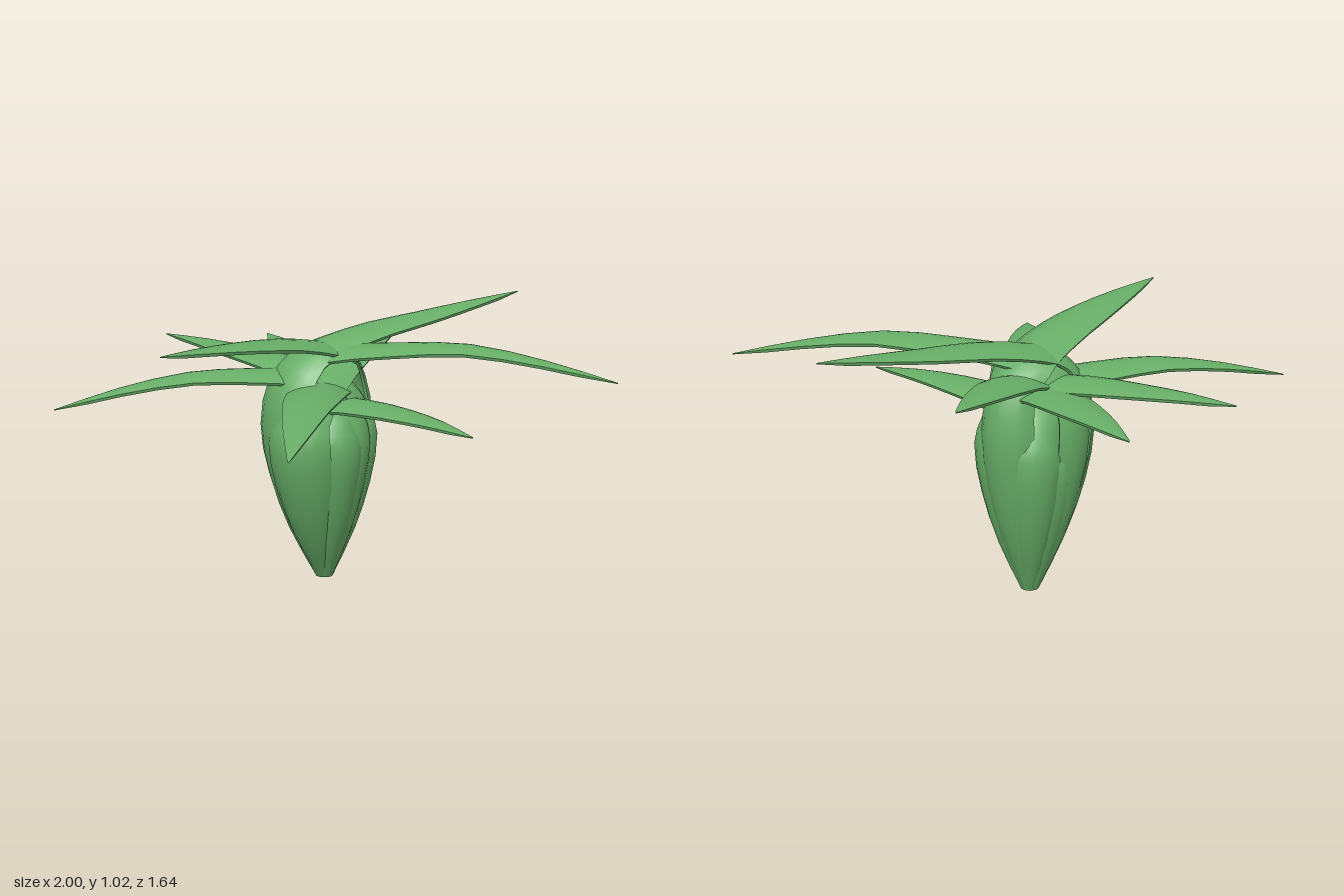
import * as THREE from 'three';
import { toCreasedNormals } from 'three/addons/utils/BufferGeometryUtils.js';

const CX = -0.1, CZ = -0.15; // axis of the bulb
const THICK = 0.012, ARC = 8, STEPS = 20;

// tip x, y, z; height over the axis; blade height midway; sheath radius; sheath width; extra curl
const LEAVES = [
  { name: 'eastLeaf', tip: [0.995, 0.83, -0.08], top: 0.9, mid: 0.935, k: 1.02, w: 0.75, curl: 0.15 },
  { name: 'frontLeftLeaf', tip: [0.53, 0.69, 0.26], top: 0.71, mid: 0.725, k: 0.88, w: 0.7, curl: 0.15 },
  { name: 'frontLeaf', tip: [0.01, 0.72, 0.82], top: 0.775, mid: 0.795, k: 1.0, w: 0.62, curl: 0.2 },
  { name: 'frontRightLeaf', tip: [-0.5, 0.99, 0.56], top: 0.925, mid: 0.975, k: 1.06, w: 0.65, curl: 0.2 },
  { name: 'westLeaf', tip: [-1.0, 0.71, 0.27], top: 0.81, mid: 0.82, k: 1.0, w: 0.6, curl: 0.2 },
  { name: 'backWestLeaf', tip: [-0.82, 0.84, -0.52], top: 0.81, mid: 0.84, k: 0.95, w: 0.6, curl: 0.2 },
  { name: 'backRightLeaf', tip: [-0.48, 0.8, -0.8], top: 0.785, mid: 0.81, k: 1.05, w: 0.65, curl: 0.2 },
  { name: 'backLeaf', tip: [0.08, 0.885, -0.82], top: 0.82, mid: 0.87, k: 1.28, w: 0.75, curl: 0.1 },
  { name: 'backLeftLeaf', tip: [0.54, 1.02, -0.77], top: 0.93, mid: 0.98, k: 1.14, w: 0.95, curl: 0 },
];

// A leaf wraps one side of the bulb, folds over the axis and reaches out on the other side.
function leafGeometry({ tip, top, mid, k, w, curl }) {
  const dx = tip[0] - CX, dz = tip[2] - CZ;
  const R = Math.hypot(dx, dz);
  const d = new THREE.Vector3(dx / R, 0, dz / R);
  const s = d.clone().cross(new THREE.Vector3(0, 1, 0));
  const v = 0.4 + 0.6 * top / 0.9;
  // stations: reach, height, half width, half angle of the cross-section arc
  const stations = [
    [-0.033, 0, 0.022, 1.2],
    [-0.12 * k, 0.2 * v, 0.105 * w, 1.15 + curl],
    [-0.18 * k, 0.4 * v, 0.16 * w, 1.1 + curl],
    [-0.208 * k, 0.6 * v, 0.175 * w, 1.05 + curl],
    [-0.175 * k, top - 0.14, 0.155 * w, 1.0 + curl],
    [-0.095, top - 0.035, 0.125, 0.85],
    [0.03, top, 0.115, 0.65],
    [0.26 * R, (top + mid) / 2 + 0.008, 0.106, 0.5],
    [0.5 * R, mid, 0.085, 0.4],
    [0.76 * R, mid * 0.55 + tip[1] * 0.45 + 0.004, 0.048, 0.35],
    [R, tip[1], 0.002, 0.3],
  ];
  const path = new THREE.CatmullRomCurve3(stations.map(p => new THREE.Vector3(p[0], p[1], 0)));
  const shape = new THREE.CatmullRomCurve3(stations.map(p => new THREE.Vector3(p[2], p[3], 0)));
  const pos = [], idx = [], ring = 2 * (ARC + 1);
  for (let i = 0; i <= STEPS; i++) {
    const u = i / STEPS;
    const p = path.getPoint(u), t = path.getTangent(u), q = shape.getPoint(u);
    const half = Math.max(q.x, 0.002), rho = half / Math.sin(q.y);
    const lean = 0.025 * Math.max(0, 1 - p.y / 0.5); // the foot sits slightly behind the axis
    for (let j = 0; j < ring; j++) {
      const inner = j > ARC;
      const f = inner ? ring - 1 - j : j;
      const a = (f / ARC * 2 - 1) * q.y;
      const rr = inner ? rho - Math.min(THICK, rho * 0.5) : rho;
      const side = rr * Math.sin(a), lift = rr * Math.cos(a) - rho;
      const reach = p.x - t.y * lift;
      pos.push(CX + d.x * reach + s.x * side, Math.max(0, p.y + t.x * lift), CZ - lean + d.z * reach + s.z * side);
    }
  }
  for (let i = 0; i < STEPS; i++) {
    for (let j = 0; j < ring; j++) {
      const a = i * ring + j, b = i * ring + (j + 1) % ring;
      idx.push(a, b, b + ring, a, b + ring, a + ring);
    }
  }
  const geo = new THREE.BufferGeometry();
  geo.setAttribute('position', new THREE.Float32BufferAttribute(pos, 3));
  geo.setIndex(idx);
  return toCreasedNormals(geo, 0.8);
}

export function createModel() {
  const group = new THREE.Group();
  group.name = 'plant';
  const green = new THREE.MeshStandardMaterial({ color: 0x68ae68 });
  green.name = 'leafGreen';

  for (const leaf of LEAVES) {
    const mesh = new THREE.Mesh(leafGeometry(leaf), green);
    mesh.name = leaf.name;
    group.add(mesh);
  }

  // closed foot where the sheaths meet
  const foot = new THREE.Mesh(new THREE.CylinderGeometry(0.036, 0.032, 0.03, 16), green);
  foot.name = 'foot';
  foot.position.set(CX, 0.015, CZ - 0.025);
  group.add(foot);
  return group;
}
